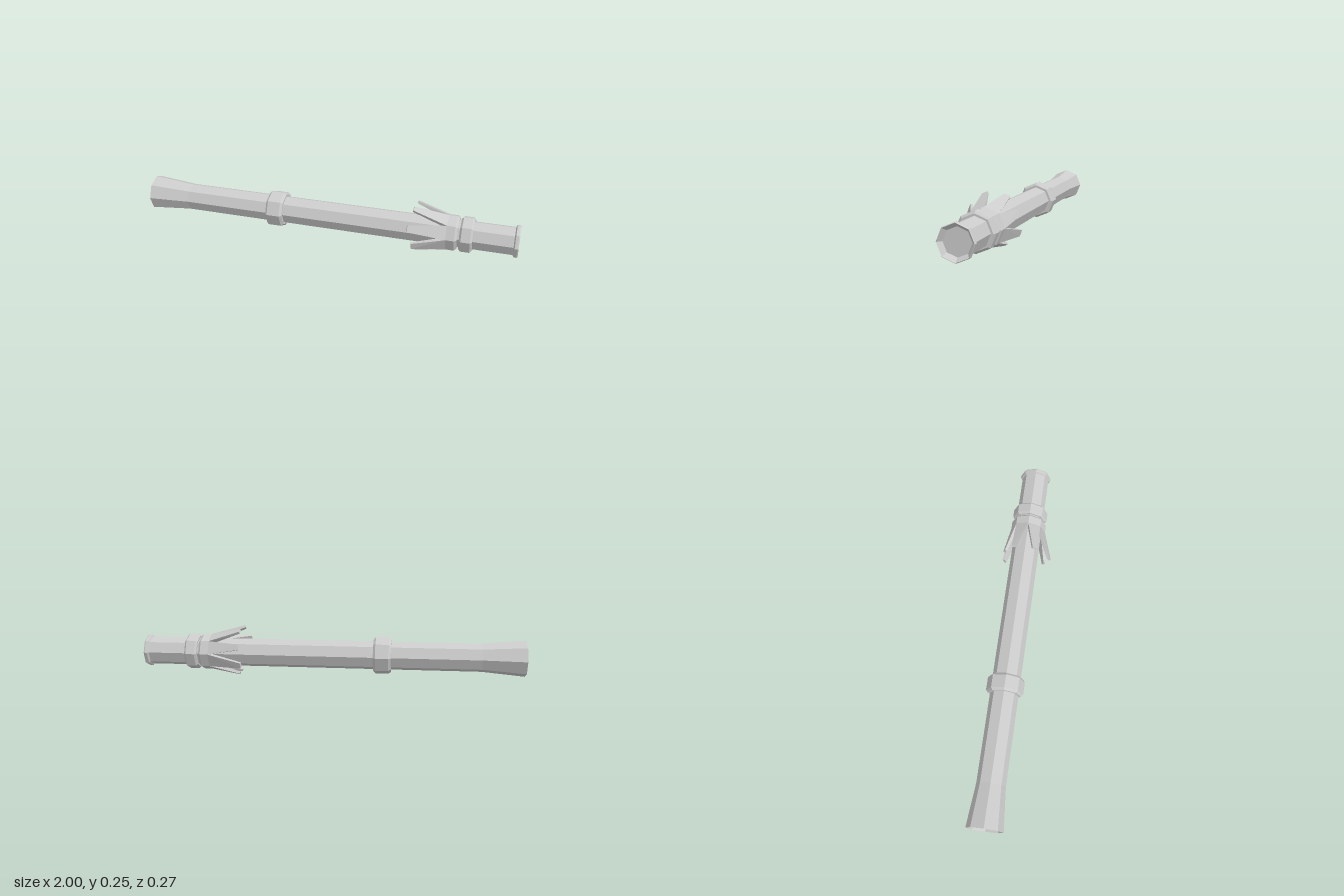
import * as THREE from 'three';
import { ConvexGeometry } from 'three/addons/geometries/ConvexGeometry.js';

const SIDES = 8;
const AXIS_Y = 0.115, AXIS_Z = -0.013;

export function createModel() {
  const model = new THREE.Group();
  model.name = 'staffHandle';
  const solid = new THREE.MeshStandardMaterial({ color: 0xcccccc, flatShading: true });
  const open = new THREE.MeshStandardMaterial({ color: 0xcccccc, flatShading: true, side: THREE.DoubleSide });

  // Octagonal part turned about the x axis from [x, radius] pairs
  function turned(name, profile, material = solid) {
    const points = profile.map(([x, r]) => new THREE.Vector2(r, x));
    const geometry = new THREE.LatheGeometry(points, SIDES);
    geometry.rotateZ(-Math.PI / 2);
    geometry.translate(0, AXIS_Y, AXIS_Z);
    const mesh = new THREE.Mesh(geometry, material);
    mesh.name = name;
    model.add(mesh);
  }

  // Long tube with an open flared end and a shallow recessed cap at the other
  turned('shaft', [[-1, 0.094], [-0.78, 0.074], [0.975, 0.074]], open);
  turned('endRim', [[0.975, 0.074], [0.981, 0.085], [0.994, 0.085], [1, 0.082], [0.975, 0.064], [0.975, 0]]);

  // Chamfered bands
  const band = (name, x0, x1, r, bevel) =>
    turned(name, [[x0, 0.072], [x0, r - 0.011], [x0 + bevel, r], [x1 - bevel, r], [x1, r - 0.011], [x1, 0.072]]);
  band('middleBand', -0.316, -0.224, 0.097, 0.012);
  band('petalCollar', 0.63, 0.7, 0.095, 0.012);
  band('rearBand', 0.71, 0.776, 0.095, 0.01);

  // Swept petals: tip x, then the two tip corners as z, y, in order of angle from +z towards +y
  const tips = [
    [0.46, 0.135, 0.157, 0.122, 0.19],
    [0.475, 0.058, 0.243, 0.031, 0.254],
    [0.48, -0.052, 0.247, -0.083, 0.236],
    [0.48, -0.12, 0.175, -0.13, 0.147],
    [0.465, -0.133, 0.077, -0.122, 0.047],
    [0.485, -0.07, 0.009, -0.05, 0.001],
    [0.49, 0.022, 0.002, 0.045, 0.013],
    [0.48, 0.098, 0.047, 0.107, 0.08],
  ];
  const rim = (x, r, k) => {
    const a = (k * Math.PI) / 4;
    return new THREE.Vector3(x, AXIS_Y + r * Math.sin(a), AXIS_Z + r * Math.cos(a));
  };
  tips.forEach(([x, z0, y0, z1, y1], i) => {
    const corners = [];
    [[z0, y0, i], [z1, y1, i + 1]].forEach(([z, y, k]) => {
      const outer = new THREE.Vector3(x, y, z);
      const inward = new THREE.Vector3(0, AXIS_Y - y, AXIS_Z - z).setLength(0.012);
      corners.push(outer, outer.clone().add(inward).setX(x - 0.004));
      corners.push(rim(0.645, 0.095, k), rim(0.625, 0.075, k));
    });
    const petal = new THREE.Mesh(new ConvexGeometry(corners), solid);
    petal.name = `petal${i + 1}`;
    model.add(petal);
  });

  return model;
}
